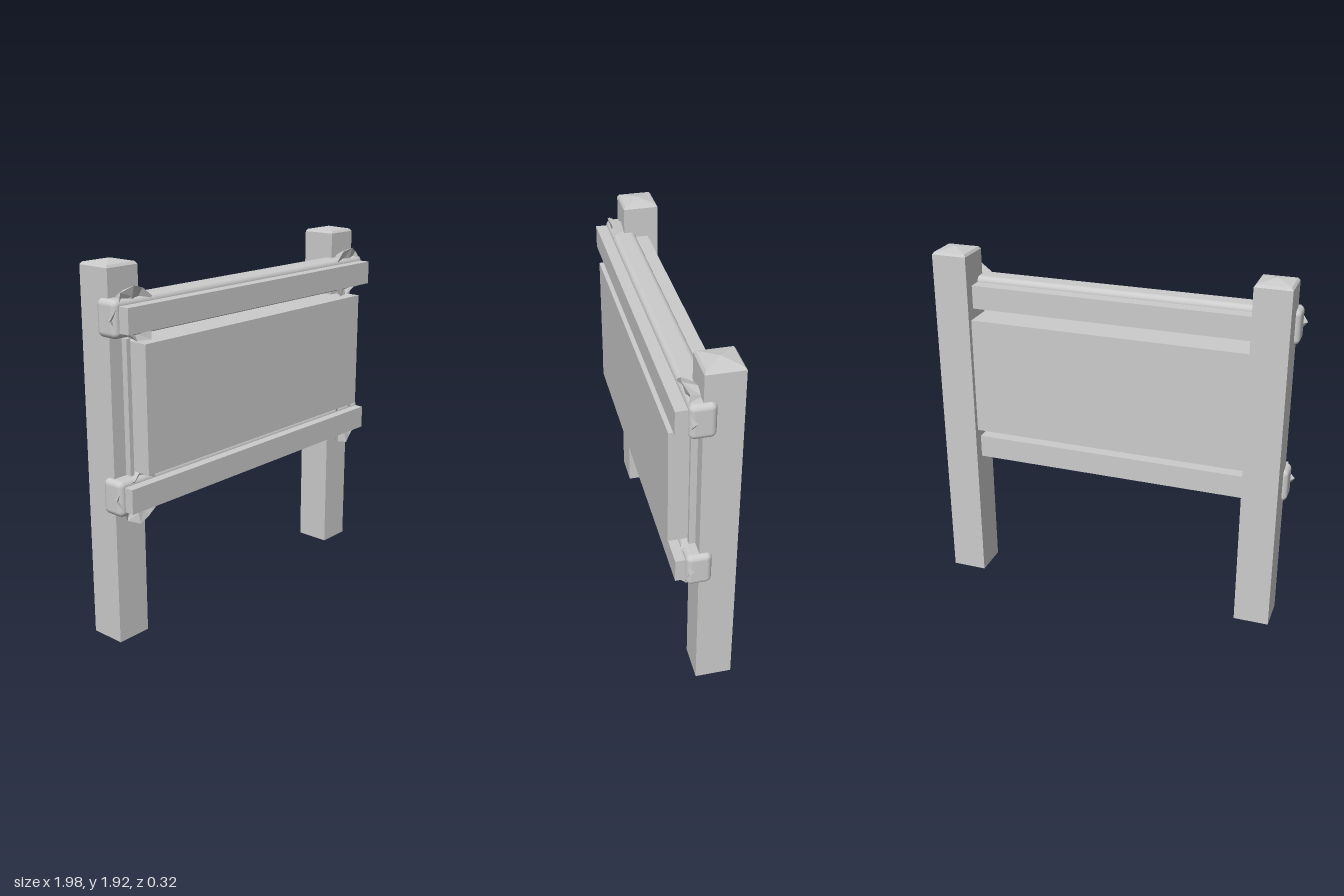
import * as THREE from 'three';
import { RoundedBoxGeometry } from 'three/addons/geometries/RoundedBoxGeometry.js';

const smooth = new THREE.MeshStandardMaterial({ color: 0xcccccc });
const flat = new THREE.MeshStandardMaterial({ color: 0xcccccc, flatShading: true });
const flatDouble = new THREE.MeshStandardMaterial({ color: 0xcccccc, flatShading: true, side: THREE.DoubleSide });

function add(parent, name, geometry, material = flat) {
  const mesh = new THREE.Mesh(geometry, material);
  mesh.name = name;
  parent.add(mesh);
  return mesh;
}

// Box given by its limits on each axis
function box(x0, x1, y0, y1, z0, z1) {
  return new THREE.BoxGeometry(x1 - x0, y1 - y0, z1 - z0)
    .translate((x0 + x1) / 2, (y0 + y1) / 2, (z0 + z1) / 2);
}

// Square post with a low pyramid cap
function postGeometry() {
  const r = 0.095 * Math.SQRT2;
  const profile = [[0, 0], [r, 0], [r, 1.895], [r * 0.9, 1.908], [0, 1.925]]
    .map(([x, y]) => new THREE.Vector2(x, y));
  return new THREE.LatheGeometry(profile, 4, Math.PI / 4);
}

// Crumpled binding: back ring on the post, flared rim, shallow hollow front.
// Outline points are x (outwards), y (away from the panel), and rim depth z.
function bindingGeometry() {
  const rim = [
    [0.14, 0.0, 0.09], [0.09, 0.07, 0.1], [0.065, 0.12, 0.085], [0, 0.148, 0.108],
    [-0.065, 0.13, 0.095], [-0.12, 0.085, 0.1], [-0.09, 0.02, 0.08], [-0.11, -0.06, 0.1],
    [-0.1, -0.12, 0.11], [-0.03, -0.125, 0.09], [0.03, -0.08, 0.105], [0.09, -0.06, 0.085],
  ];
  const rings = [
    rim.map(([x, y]) => [x * 0.72, y * 0.8, 0.03]),
    rim,
    rim.map(([x, y, z]) => [x * 0.7, y * 0.65, z - 0.015]),
  ];
  const n = rim.length;
  const positions = [...rings.flat(), [0, 0, 0.075]].flat();
  const index = [];
  for (let i = 0; i < n; i++) {
    const j = (i + 1) % n;
    for (let k = 0; k < 2; k++) {
      const a = k * n + i, b = k * n + j;
      index.push(a, b, b + n, a, b + n, a + n);
    }
    index.push(2 * n + i, 2 * n + j, 3 * n);
  }
  const g = new THREE.BufferGeometry();
  g.setAttribute('position', new THREE.Float32BufferAttribute(positions, 3));
  g.setIndex(index);
  g.computeVertexNormals();
  return g;
}

export function createModel() {
  const group = new THREE.Group();
  group.name = 'signBoard';

  // Posts and the thin strips beside the panel
  for (const s of [1, -1]) {
    add(group, s > 0 ? 'leftPost' : 'rightPost', postGeometry()).position.set(s * 0.85, 0, -0.0625);
    add(group, 'sideStrip', box(-0.012, 0.012, 0.88, 1.56, 0.02, 0.065)).position.x = s * 0.857;
  }

  // Sign panel
  add(group, 'panel', box(-0.843, 0.847, 0.9, 1.545, -0.13, 0.165));

  // Upper and lower rails: a flat plank with a rounded beam through it
  const binding = bindingGeometry();
  const rails = [
    { name: 'upper', y: 1.665, front: 0.16, up: 1 },
    { name: 'lower', y: 0.787, front: 0.15, up: -1 },
  ];
  for (const { name, y, front, up } of rails) {
    add(group, name + 'Plank', box(-0.94, 0.945, y - 0.063, y + 0.063, -0.1, front));
    add(group, name + 'Beam', new RoundedBoxGeometry(1.94, 0.184, 0.13, 3, 0.03), smooth)
      .position.set(0, y, 0.035);
    // Bindings where the rail meets the posts
    for (const s of [1, -1]) {
      const mesh = add(group, name + 'Binding', binding, flatDouble);
      mesh.position.set(s * 0.85, y, 0);
      mesh.scale.set(s, up, 1);
    }
  }
  return group;
}
